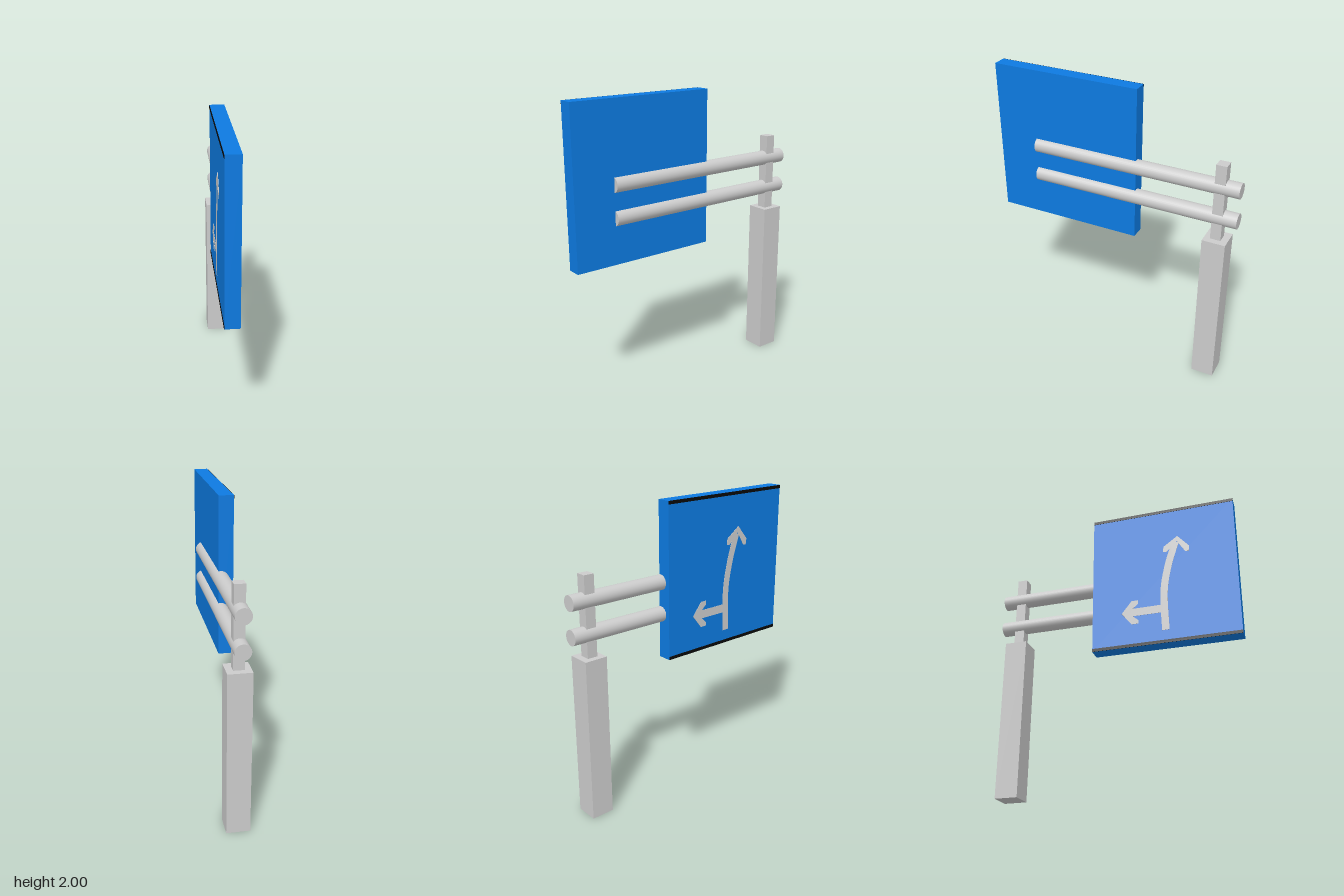
import * as THREE from 'three';

const grey = new THREE.MeshStandardMaterial({ color: 0xcccccc });
const blue = new THREE.MeshStandardMaterial({ color: 0x0d7ae0 });
const black = new THREE.MeshStandardMaterial({ color: 0x080808 });

const PANEL = { x0: -0.077, x1: 0.018, y0: 0.95, y1: 2, z0: -0.16, z1: 0.86 };

// Box given by its limits on each axis
function box(name, [x0, x1], [y0, y1], [z0, z1], material) {
  const mesh = new THREE.Mesh(new THREE.BoxGeometry(x1 - x0, y1 - y0, z1 - z0), material);
  mesh.position.set((x0 + x1) / 2, (y0 + y1) / 2, (z0 + z1) / 2);
  mesh.name = name;
  return mesh;
}

// Thin marking on the sign face; u runs along z and v runs up, both 0..1
function marking(name, points) {
  const shape = new THREE.Shape(points.map(([u, v]) => new THREE.Vector2(
    PANEL.z0 + u * (PANEL.z1 - PANEL.z0),
    PANEL.y0 + v * (PANEL.y1 - PANEL.y0))));
  const geometry = new THREE.ExtrudeGeometry(shape, { depth: 0.002, bevelEnabled: false });
  const mesh = new THREE.Mesh(geometry, grey);
  mesh.rotation.y = -Math.PI / 2;
  mesh.position.x = PANEL.x0;
  mesh.name = name;
  return mesh;
}

// Constant-width strip that follows a centre line
function strip(centre, width) {
  const curve = new THREE.SplineCurve(centre.map(p => new THREE.Vector2(...p)));
  const left = [], right = [];
  for (let i = 0; i <= 16; i++) {
    const p = curve.getPoint(i / 16), t = curve.getTangent(i / 16);
    left.push([p.x - t.y * width / 2, p.y + t.x * width / 2]);
    right.unshift([p.x + t.y * width / 2, p.y - t.x * width / 2]);
  }
  return [...left, ...right];
}

// Chevron arrowhead pointing along an angle
function chevron(u, v, angle, length, half, thick) {
  const c = Math.cos(angle), s = Math.sin(angle);
  return [[0, 0], [-length, half], [-length - thick, half], [-length - thick, half - 0.025],
    [-thick, 0], [-length - thick, 0.025 - half], [-length - thick, -half], [-length, -half]]
    .map(([a, b]) => [u + a * c - b * s, v + a * s + b * c]);
}

export function createModel() {
  const group = new THREE.Group();
  group.name = 'roadSign';

  // Base and upright
  group.add(box('basePost', [-0.07, 0.085], [0, 1.105], [-0.812, -0.657], grey));
  group.add(box('upperPost', [-0.028, 0.042], [1.105, 1.63], [-0.767, -0.697], grey));

  // Horizontal support arms
  for (const [name, y] of [['upperArm', 1.47], ['lowerArm', 1.255]]) {
    const arm = new THREE.Mesh(new THREE.CylinderGeometry(0.051, 0.051, 1.435, 32), grey);
    arm.rotation.x = Math.PI / 2;
    arm.position.set(0.003, y, -0.1425);
    arm.name = name;
    group.add(arm);
  }

  // Sign panel with dark edge bands on its face
  const { x0, x1, y0, y1, z0, z1 } = PANEL;
  group.add(box('signPanel', [x0, x1], [y0, y1], [z0, z1], blue));
  group.add(box('bottomBand', [x0 - 0.002, x0], [y0, y0 + 0.022], [z0, z1], black));
  group.add(box('topBand', [x0 - 0.002, x0], [y1 - 0.022, y1], [z0, z1], black));

  // Direction arrows
  group.add(marking('mainArrowShaft',
    strip([[0.505, 0.09], [0.5, 0.36], [0.535, 0.56], [0.59, 0.73]], 0.05)));
  group.add(marking('mainArrowHead', chevron(0.605, 0.775, 1.45, 0.08, 0.09, 0.04)));
  group.add(marking('sideArrowShaft', strip([[0.49, 0.245], [0.36, 0.245], [0.25, 0.245]], 0.055)));
  group.add(marking('sideArrowHead', chevron(0.205, 0.245, Math.PI, 0.07, 0.085, 0.045)));

  return group;
}
